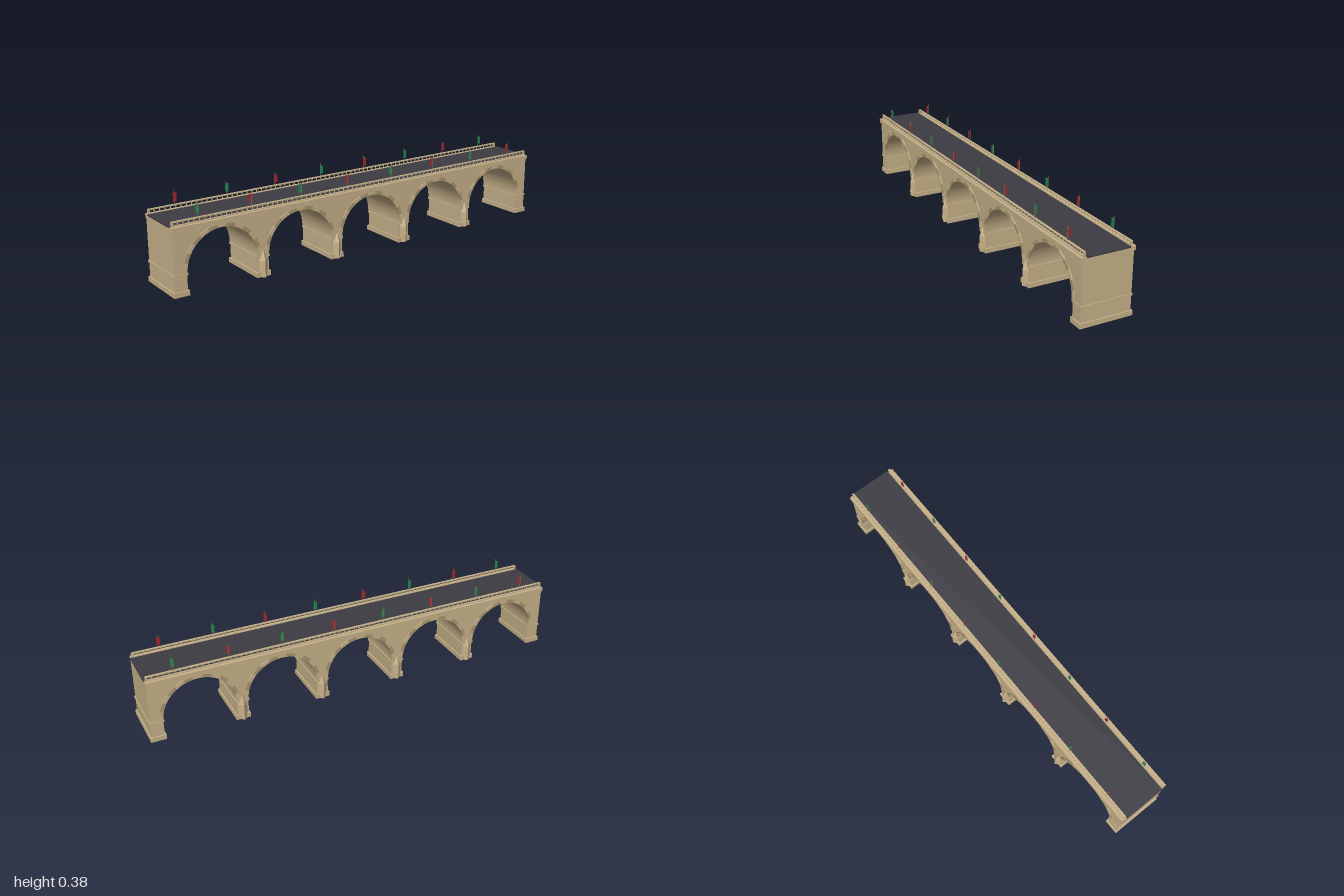
import * as THREE from 'three';
import { mergeGeometries } from 'three/addons/utils/BufferGeometryUtils.js';

const SPACING = 0.385, RADIUS = 0.165, SPRING = 0.097, HALF_DEPTH = 0.117, END = 0.993;

function material(name, color) {
  const m = new THREE.MeshStandardMaterial({ color });
  m.name = name;
  return m;
}

function box(x0, x1, y0, y1, z0, z1) {
  return new THREE.BoxGeometry(x1 - x0, y1 - y0, z1 - z0)
    .translate((x0 + x1) / 2, (y0 + y1) / 2, (z0 + z1) / 2);
}

export function createModel() {
  const group = new THREE.Group();
  const stone = material('sandstone', 0xc6b088);
  const darkStone = material('dark sandstone', 0xa8946e);
  const asphalt = material('asphalt', 0x3d3b43);
  const brass = material('pole brass', 0x8f7848);
  const green = material('green cloth', 0x1f8a50);
  const red = material('red cloth', 0xac2430);

  const add = (name, geometries, mat) => {
    const mesh = new THREE.Mesh(mergeGeometries(geometries), mat);
    mesh.name = name;
    group.add(mesh);
  };
  const archCentres = [-2, -1, 0, 1, 2].map(i => i * SPACING);
  const pierCentres = [-1.5, -0.5, 0.5, 1.5].map(i => i * SPACING);
  const sides = [1, -1];

  // Spandrel walls, piers and barrel vaults as one extruded outline
  const outline = new THREE.Shape();
  outline.moveTo(-END, 0);
  for (const cx of archCentres) {
    outline.lineTo(cx - RADIUS, 0);
    outline.lineTo(cx - RADIUS, SPRING);
    outline.absarc(cx, SPRING, RADIUS, Math.PI, 0, true);
    outline.lineTo(cx + RADIUS, 0);
  }
  outline.lineTo(END, 0);
  outline.lineTo(END, 0.28);
  outline.lineTo(-END, 0.28);
  outline.closePath();
  add('archedWalls', [new THREE.ExtrudeGeometry(outline, {
    depth: HALF_DEPTH * 2, bevelEnabled: false, curveSegments: 24,
  }).translate(0, 0, -HALF_DEPTH)], stone);

  // Alternating arch stones on both faces
  const archStones = [[], []];
  const count = 13, step = Math.PI / count;
  for (const cx of archCentres) {
    for (let i = 0; i < count; i++) {
      const wedge = new THREE.Shape();
      wedge.absarc(cx, SPRING, RADIUS + 0.016, i * step, (i + 1) * step, false);
      wedge.absarc(cx, SPRING, RADIUS, (i + 1) * step, i * step, true);
      for (const s of sides) {
        archStones[i % 2].push(new THREE.ExtrudeGeometry(wedge, {
          depth: 0.005, bevelEnabled: false, curveSegments: 3,
        }).translate(0, 0, s > 0 ? HALF_DEPTH : -HALF_DEPTH - 0.005));
      }
    }
  }
  add('lightArchStones', archStones[0], stone);
  add('darkArchStones', archStones[1], darkStone);

  // Pier and abutment footings with the string course at the springing
  const footings = [], courses = [];
  const supports = pierCentres.map(x => [x - 0.0275, x + 0.0275]);
  supports.push([-END, -0.935], [0.935, END]);
  for (const [a, b] of supports) {
    footings.push(box(a - 0.006, b + 0.006, 0, 0.022, -0.123, 0.123));
    courses.push(box(a - 0.004, b + 0.004, 0.087, 0.096, -0.12, 0.12));
  }
  add('footings', footings, stone);
  add('stringCourses', courses, stone);

  // Pointed cutwaters with sloping caps
  const cutwaters = [];
  const w = 0.023, nose = 0.135, top = 0.075;
  const L0 = [-w, 0, 0.115], R0 = [w, 0, 0.115], N0 = [0, 0, nose];
  const L1 = [-w, top, 0.115], R1 = [w, top, 0.115], N1 = [0, top, nose];
  const A = [0, 0.118, 0.121], B = [0, 0.118, 0.115];
  const faces = [
    L0, N0, N1, L0, N1, L1, N0, R0, R1, N0, R1, N1,
    L1, N1, A, N1, R1, A, L1, A, B, A, R1, B, L0, R0, N0,
  ];
  for (const x of pierCentres) {
    for (const s of sides) {
      const g = new THREE.BufferGeometry();
      g.setAttribute('position', new THREE.Float32BufferAttribute(faces.flat(), 3));
      if (s < 0) g.rotateY(Math.PI);
      g.translate(x, 0, 0);
      g.computeVertexNormals();
      cutwaters.push(g);
    }
  }
  add('cutwaters', cutwaters, stone);

  // Cornice and roadway
  add('cornice', [box(-END, END, 0.279, 0.299, -0.126, 0.126)], stone);
  add('roadway', [box(-0.997, 0.997, 0.296, 0.301, -0.1, 0.1)], asphalt);

  // Balustrades
  const profile = [[0.003, 0], [0.0018, 0.004], [0.003, 0.008], [0.0018, 0.014]]
    .map(([r, y]) => new THREE.Vector2(r, y));
  const rails = [], balusters = [];
  for (const s of sides) {
    const z = s * 0.107;
    rails.push(box(-0.988, 0.988, 0.299, 0.303, z - 0.005, z + 0.005));
    rails.push(box(-0.988, 0.988, 0.316, 0.321, z - 0.005, z + 0.005));
    for (const x of [-0.985, 0.985]) {
      rails.push(box(x - 0.005, x + 0.005, 0.299, 0.32, z - 0.004, z + 0.004));
    }
    const n = 80;
    for (let i = 1; i < n; i++) {
      balusters.push(new THREE.LatheGeometry(profile, 6)
        .translate(-0.985 + i * 1.97 / n, 0.3025, z));
    }
  }
  add('balustradeRails', rails, stone);
  add('balusters', balusters, stone);

  // Poles with banners in alternating colours
  const poles = [], banners = { green: [], red: [] };
  for (const s of sides) {
    for (let i = 0; i < 8; i++) {
      const x = (i - 3.5) * 0.248, z = s * 0.107;
      poles.push(new THREE.CylinderGeometry(0.0014, 0.0014, 0.061, 6).translate(x, 0.3495, z));
      poles.push(box(x - 0.0007, x + 0.0007, 0.37, 0.3715, Math.min(z, s * 0.1), Math.max(z, s * 0.1)));
      const isGreen = (i % 2 === 0) === (s > 0);
      banners[isGreen ? 'green' : 'red'].push(
        box(x - 0.008, x + 0.008, 0.334, 0.372, s * 0.1 - 0.0005, s * 0.1 + 0.0005));
    }
  }
  add('bannerPoles', poles, brass);
  add('greenBanners', banners.green, green);
  add('redBanners', banners.red, red);

  return group;
}
